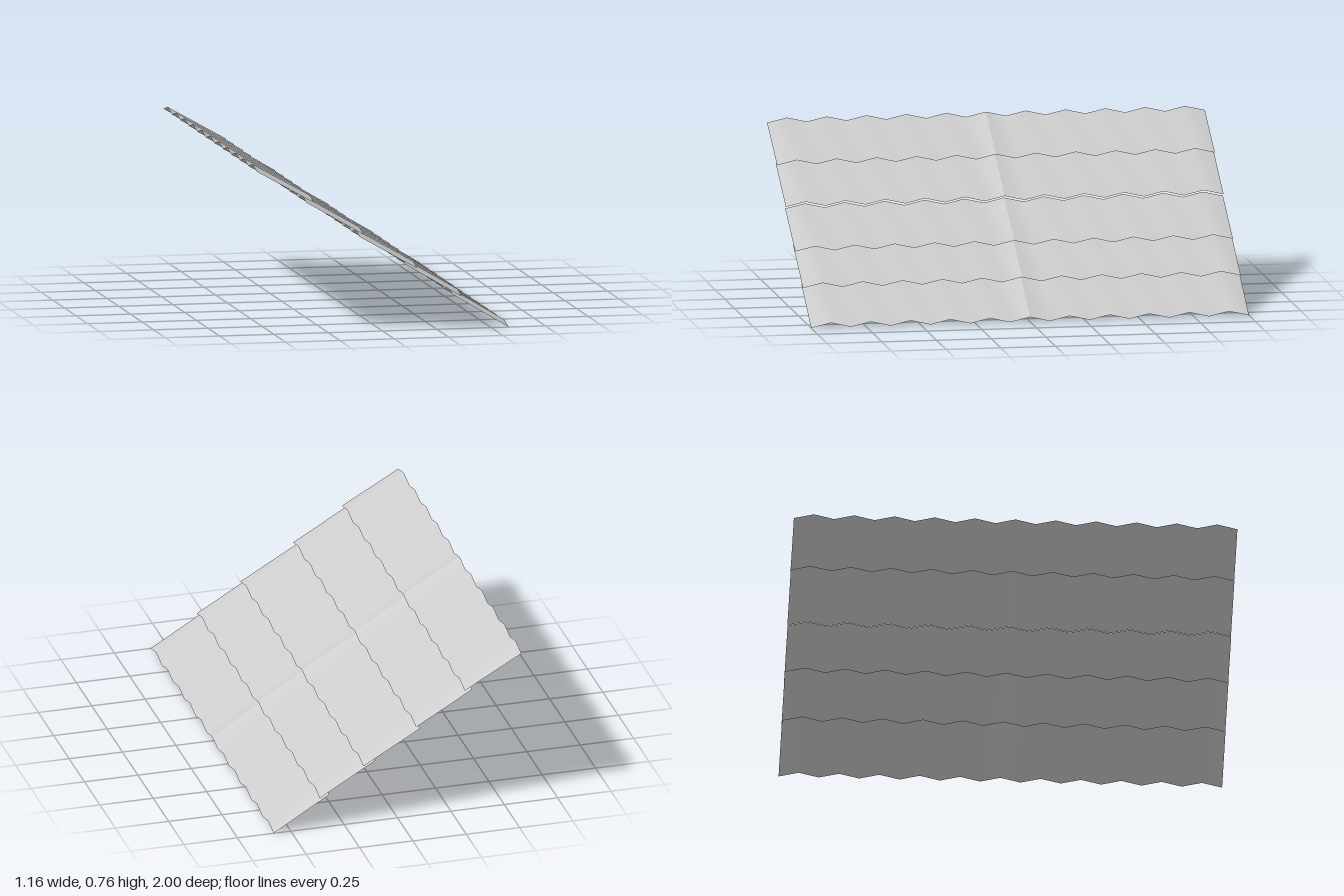
import * as THREE from 'three';

const WAVE = 0.021; // height of the corrugation
const FOLDS = 11;   // folds in each half sheet

// Each sheet: upper edge x, valley y, then lower edge x, valley y
const SHEETS = [
  [-0.58, 0.743, -0.315, 0.593],
  [-0.35, 0.594, -0.087, 0.441],
  [-0.105, 0.431, 0.16, 0.279],
  [0.104, 0.300, 0.364, 0.146],
  [0.32, 0.158, 0.58, 0.0],
];

// Half a corrugated sheet: a flat plane tilted to the slope and folded in zigzags along z
function halfSheet([x0, y0, x1, y1], side) {
  const geo = new THREE.PlaneGeometry(1, 1, 1, FOLDS);
  geo.rotateX(-Math.PI / 2);
  geo.translate(0.5, 0, 0.5 * side);
  const p = geo.attributes.position;
  for (let i = 0; i < p.count; i++) {
    const t = p.getX(i);
    const fold = Math.round(Math.abs(p.getZ(i)) * FOLDS);
    const ridge = fold % 2 === 0 ? WAVE : 0;
    p.setX(i, x0 + (x1 - x0) * t);
    p.setY(i, y0 + (y1 - y0) * t + ridge);
  }
  geo.computeVertexNormals();
  return geo;
}

export function createModel() {
  const roof = new THREE.Group();
  roof.name = 'corrugatedRoof';
  const material = new THREE.MeshStandardMaterial({ color: 0xcccccc, side: THREE.DoubleSide });

  // Overlapping rows from the top of the slope to the bottom, two halves each
  SHEETS.forEach((sheet, i) => {
    const row = new THREE.Group();
    row.name = `roofRow${i + 1}`;
    for (const side of [-1, 1]) {
      const mesh = new THREE.Mesh(halfSheet(sheet, side), material);
      mesh.name = side > 0 ? 'frontSheet' : 'backSheet';
      row.add(mesh);
    }
    roof.add(row);
  });
  return roof;
}
